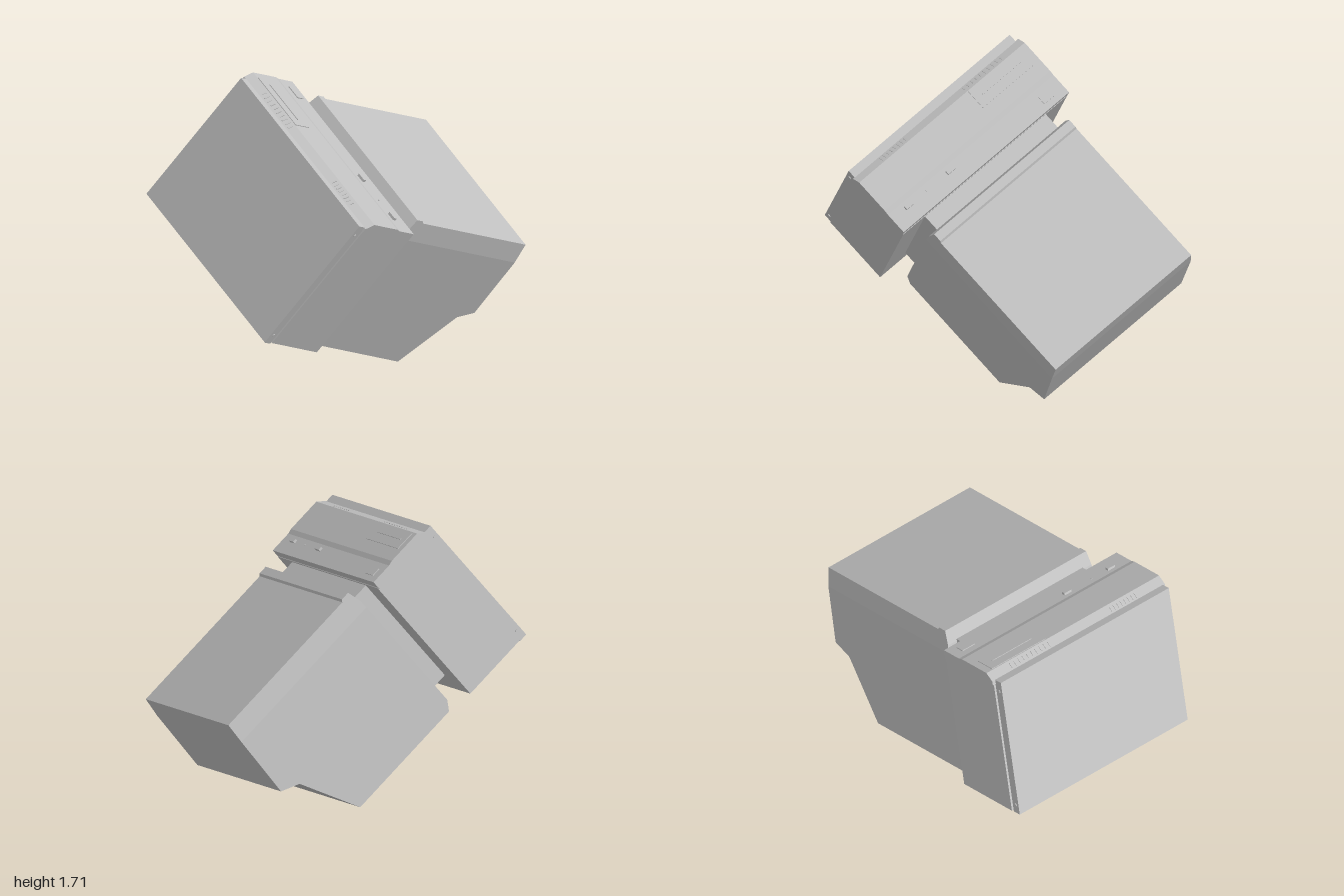
import * as THREE from 'three';

const grey = new THREE.MeshStandardMaterial({ color: 0xc0c0c0 });
grey.name = 'casing grey';

export function createModel() {
  const root = new THREE.Group();
  root.name = 'computerWithMonitor';

  function add(name, geometry) {
    const mesh = new THREE.Mesh(geometry, grey);
    mesh.name = name;
    root.add(mesh);
    return mesh;
  }
  // box given by its limits on each axis
  function block(name, x0, x1, y0, y1, z0, z1) {
    const m = add(name, new THREE.BoxGeometry(x1 - x0, y1 - y0, z1 - z0));
    m.position.set((x0 + x1) / 2, (y0 + y1) / 2, (z0 + z1) / 2);
    return m;
  }
  // box centred at x, y standing on a face at z
  const stud = (name, x, y, z, w, h, d) =>
    block(name, x - w / 2, x + w / 2, y - h / 2, y + h / 2, z - d / 2, z + d / 2);
  // side profile of [z, y] points, extruded from x1 down to x0
  function prism(points, x0, x1) {
    const shape = new THREE.Shape(points.map(p => new THREE.Vector2(p[0], p[1])));
    const g = new THREE.ExtrudeGeometry(shape, { depth: x1 - x0, bevelEnabled: false });
    g.rotateY(-Math.PI / 2);
    g.translate(x1, 0, 0);
    return g;
  }

  // computer case
  block('caseBottom', -0.833, 0.362, -1.19, -1.14, 0.205, 1.065);
  block('caseBody', -0.845, 0.37, -1.14, -0.735, 0.215, 1.05);
  add('caseFront', prism([
    [1.04, -1.143], [1.063, -1.143], [1.102, -1.10], [1.102, -0.893],
    [1.095, -0.865], [1.095, -0.738], [1.04, -0.738]
  ], -0.854, 0.374));

  // drive, badge and buttons on the case front
  stud('drivePanel', -0.62, -1.035, 1.102, 0.38, 0.12, 0.008);
  stud('driveSlot', -0.62, -1.035, 1.105, 0.28, 0.008, 0.01);
  stud('badge', -0.75, -0.80, 1.095, 0.09, 0.05, 0.01);
  for (const x of [-0.056, 0.253]) stud('button', x, -0.83, 1.097, 0.05, 0.022, 0.024);
  stud('lamp', 0.12, -0.83, 1.095, 0.008, 0.008, 0.008);

  // vent pips along the sloping lower edge
  for (let i = 0; i < 18; i++) {
    const pip = stud('ventPip', i < 10 ? -0.70 + i * 0.03 : -0.24 + i * 0.025, -1.122, 1.083, 0.009, 0.03, 0.005);
    pip.rotation.x = Math.PI / 4;
  }

  // screws on the bottom edge
  for (const z of [0.26, 1.0])
    for (const x of [-0.833, 0.362]) {
      const s = add('screw', new THREE.CylinderGeometry(0.01, 0.01, 0.01, 8));
      s.rotation.z = Math.PI / 2;
      s.position.set(x, -1.165, z);
    }

  // rear panel and sockets
  stud('powerPanel', -0.61, -0.97, 0.213, 0.38, 0.33, 0.01);
  const sockets = [
    [-0.21, -1.12, 0.16, 0.045], [-0.06, -1.12, 0.08, 0.045], [0.16, -1.12, 0.12, 0.045],
    [0.3, -1.12, 0.07, 0.045], [-0.05, -0.87, 0.12, 0.09]
  ];
  for (const [x, y, w, h] of sockets) stud('socket', x, y, 0.205, w, h, 0.04);
  for (const [x, y] of [[0.236, -0.82], [0.3, -0.82], [0.1, -0.95]]) {
    const plug = add('roundSocket', new THREE.CylinderGeometry(0.02, 0.02, 0.04, 12));
    plug.rotation.x = Math.PI / 2;
    plug.position.set(x, y, 0.205);
  }

  // monitor stand
  block('monitorStand', -0.69, 0.207, -0.736, -0.638, 0.33, 1.04);

  // monitor: sides flare slightly to the seam behind the bezel
  const mid = -0.2425, seam = 0.98;
  function flare(g) {
    const p = g.attributes.position;
    for (let i = 0; i < p.count; i++) {
      const z = p.getZ(i);
      const half = z <= seam ? 0.503 + 0.012 * (z - 0.19) / 0.79 : 0.515 - 0.012 * (z - seam) / 0.12;
      p.setX(i, mid + Math.sign(p.getX(i)) * half);
    }
    g.computeVertexNormals();
    return g;
  }
  add('monitorShell', flare(prism([
    [0.19, 0.12], [0.19, -0.605], [0.245, -0.64], [seam, -0.64],
    [seam, 0.38], [0.604, 0.395], [0.553, 0.289]
  ], -1, 1)));
  add('monitorBezel', flare(prism([
    [seam, -0.64], [1.03, -0.64], [1.113, -0.62], [1.113, -0.57],
    [1.10, -0.56], [1.10, 0.37], [seam, 0.38]
  ], -1, 1)));

  // small plates at both ends of the rear ledge
  for (const s of [-1, 1]) {
    const plate = stud('ledgePlate', mid + s * 0.42, 0.342, 0.5785, 0.07, 0.05, 0.008);
    plate.rotation.x = Math.PI + 0.445;
  }

  // wedge-sided housing on the monitor back
  add('rearHousing', prism([
    [0.2, -0.04], [0.19, -0.04], [0.103, -0.11], [0.103, -0.52], [0.2, -0.52]
  ], -0.5, 0.04));
  stud('rearLabel', -0.23, -0.315, 0.102, 0.34, 0.25, 0.006);

  // whole set lies tipped over
  const basis = new THREE.Matrix4().makeBasis(
    new THREE.Vector3(-0.2246, -0.3087, 0.9242),
    new THREE.Vector3(0.8551, -0.5173, 0.0342),
    new THREE.Vector3(0.4675, 0.7980, 0.3802)
  );
  root.quaternion.setFromRotationMatrix(basis);
  const model = new THREE.Group();
  model.name = 'model';
  model.add(root);
  return model;
}
